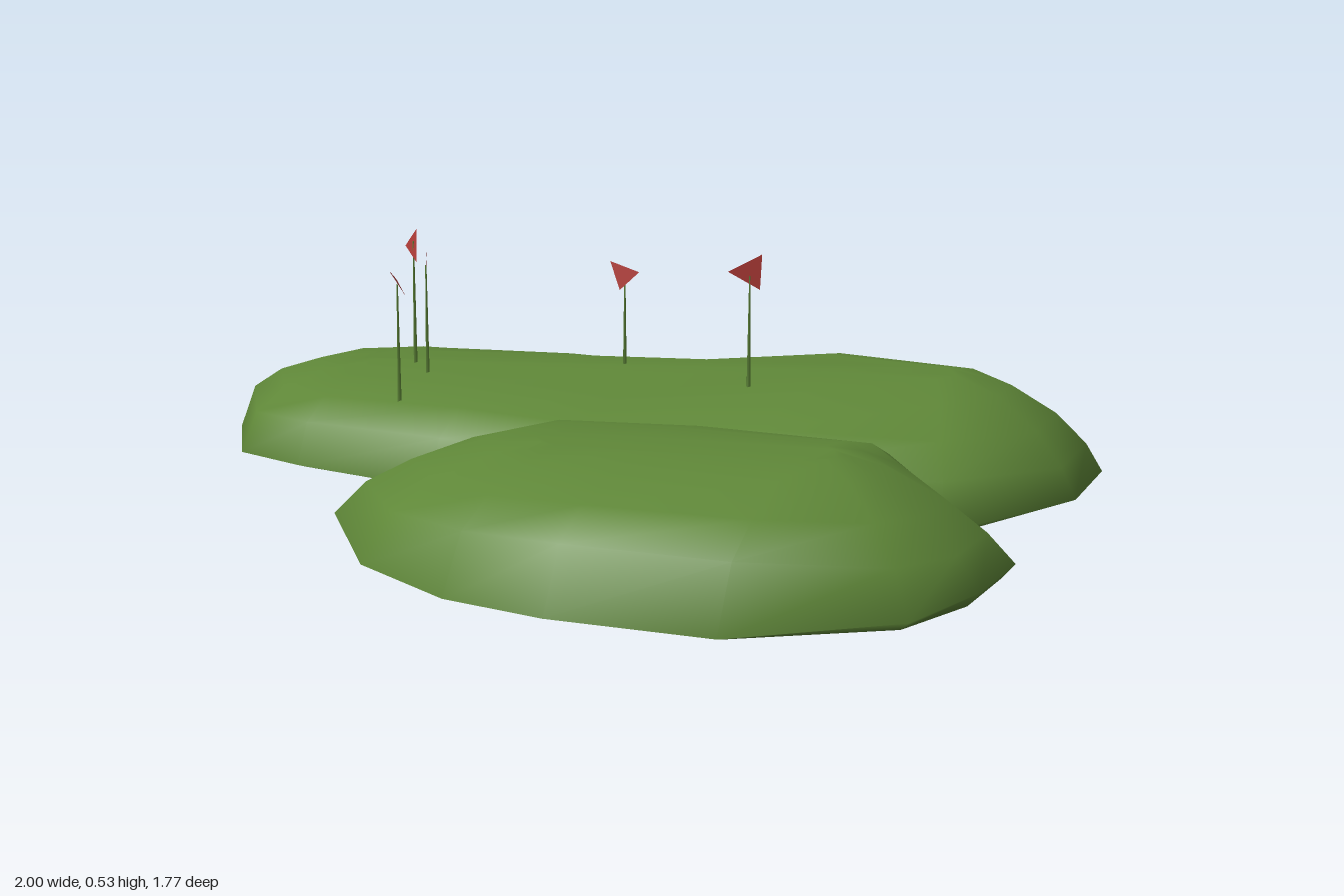
import * as THREE from 'three';
import { mergeVertices } from 'three/addons/utils/BufferGeometryUtils.js';

const grass = new THREE.MeshStandardMaterial({ color: 0x5f8738 });
grass.name = 'grass green';
const red = new THREE.MeshStandardMaterial({ color: 0xb23c38, side: THREE.DoubleSide });
red.name = 'flag red';

// Point on a ridge line ([x, y, z] stations) at the clamped x
function ridgeAt(ridge, x) {
  const last = ridge.length - 1;
  if (x <= ridge[0][0]) return ridge[0];
  if (x >= ridge[last][0]) return ridge[last];
  const i = ridge.findIndex((p) => p[0] > x);
  const a = ridge[i - 1], b = ridge[i];
  const t = (x - a[0]) / (b[0] - a[0]);
  return a.map((v, k) => v + (b[k] - v) * t);
}

// Mound: an outline of [x, z, rim height, slope power] drawn in towards its ridge.
// Higher powers give gentler flanks. Each ring is [inset, rise].
function mound(name, outline, ridge, rings, under) {
  const n = outline.length, pos = [], idx = [];
  const base = [[0.85, 0.03], [0.3, under], [0.07, 0.03]];
  for (const [t, low] of base) {
    for (const [x, z, y] of outline) {
      const r = ridgeAt(ridge, x);
      const floor = Math.abs(z) > 0.3 ? low : 0.03;
      pos.push(x + (r[0] - x) * t, Math.min(floor, y), z + (r[2] - z) * t);
    }
  }
  for (const [t, f] of rings) {
    for (const [x, z, y, power] of outline) {
      const r = ridgeAt(ridge, x);
      pos.push(x + (r[0] - x) * t, y + (r[1] - y) * f ** power, z + (r[2] - z) * t);
    }
  }
  const count = base.length + rings.length;
  for (let k = 0; k < count - 1; k++) {
    for (let i = 0; i < n; i++) {
      const j = (i + 1) % n;
      const a = k * n + j, b = k * n + i, c = b + n, d = a + n;
      idx.push(a, b, c, a, c, d);
    }
  }
  // Close the underside and the crest
  const cap = (start, up) => {
    const loop = [];
    for (let i = start; i < start + n; i++) loop.push(new THREE.Vector2(pos[i * 3], -pos[i * 3 + 2]));
    const flip = THREE.ShapeUtils.isClockWise(loop);
    for (const face of THREE.ShapeUtils.triangulateShape(loop, [])) {
      const [a, b, c] = face.map((v) => v + start);
      const p = loop[face[0]], q = loop[face[1]], r = loop[face[2]];
      const ccw = (q.x - p.x) * (r.y - p.y) - (q.y - p.y) * (r.x - p.x) > 0;
      if (ccw === up) idx.push(a, b, c);
      else idx.push(a, c, b);
    }
    return flip;
  };
  cap(0, false);
  cap((count - 1) * n, true);
  let geo = new THREE.BufferGeometry();
  geo.setAttribute('position', new THREE.Float32BufferAttribute(pos, 3));
  geo.setIndex(idx);
  geo = mergeVertices(geo, 1e-4);
  geo.computeVertexNormals();
  const mesh = new THREE.Mesh(geo, grass);
  mesh.name = name;
  return mesh;
}

// Tapered pole with a tilted triangular pennant given by three corners
function flag([x, y0, y1, z], corners) {
  const g = new THREE.Group();
  g.name = 'flag';
  const pole = new THREE.Mesh(new THREE.CylinderGeometry(0.002, 0.006, y1 - y0, 3), grass);
  pole.position.set(x, (y0 + y1) / 2, z);
  pole.name = 'flagPole';
  const geo = new THREE.BufferGeometry();
  geo.setAttribute('position', new THREE.Float32BufferAttribute(corners.flat(), 3));
  geo.computeVertexNormals();
  const pennant = new THREE.Mesh(geo, red);
  pennant.name = 'pennant';
  g.add(pole, pennant);
  return g;
}

export function createModel() {
  const model = new THREE.Group();
  model.name = 'flaggedHills';

  // Long rear hill, with a saddle in its ridge
  model.add(mound('rearHill', [
    [-1, -0.17, 0.03, 0.9], [-0.94, -0.48, 0.04, 1], [-0.68, -0.685, 0.04, 1.1], [-0.6, -0.685, 0.04, 1.2],
    [-0.26, -0.65, 0.04, 1.2], [-0.07, -0.75, 0.04, 1.3], [0.33, -0.89, 0.05, 1.3], [0.71, -0.815, 0.05, 1.4],
    [0.97, -0.57, 0.04, 1.8], [0.975, -0.3, 0.04, 1.8], [0.81, 0.1, 0.05, 1.2], [0.4, 0.17, 0.05, 1.2],
    [0, 0.19, 0.05, 1.1], [-0.28, 0.19, 0.04, 1], [-0.64, 0.14, 0.04, 1], [-0.82, 0.09, 0.04, 1],
  ], [
    [-0.65, 0.215, -0.28], [-0.27, 0.235, -0.3], [-0.04, 0.215, -0.36],
    [0.3, 0.248, -0.5], [0.62, 0.25, -0.47],
  ], [[0, 0], [0.1, 0.5], [0.28, 0.75], [0.55, 0.93], [0.85, 1]], 0));

  // Rounder front hill, running back into the rear one
  model.add(mound('frontHill', [
    [-0.28, 0.19, 0.05, 1.4], [-0.08, 0.0, 0.1, 1.1], [0.3, -0.06, 0.1, 1], [0.68, -0.03, 0.09, 1],
    [0.81, 0.1, 0.06, 1.2], [1, 0.28, 0.06, 2], [0.99, 0.48, 0.06, 2], [0.92, 0.67, 0.05, 1.5],
    [0.65, 0.86, 0.04, 1], [0.34, 0.885, 0.04, 0.95], [0.13, 0.86, 0.04, 1], [-0.11, 0.74, 0.04, 1.2],
    [-0.33, 0.48, 0.05, 1.6],
  ], [[0.17, 0.24, 0.42], [0.4, 0.252, 0.42], [0.64, 0.253, 0.38]],
  [[0, 0], [0.14, 0.54], [0.34, 0.77], [0.62, 0.94], [0.85, 1]], 0.012));

  // Flags: pole [x, bottom, top, z], then pennant corners
  const flags = [
    [[-0.535, 0.2, 0.5, -0.2], [[-0.57, 0.485, -0.225], [-0.525, 0.53, -0.2], [-0.515, 0.455, -0.18]]],
    [[-0.46, 0.18, 0.46, -0.125], [[-0.47, 0.495, -0.15], [-0.445, 0.46, -0.1], [-0.46, 0.42, -0.125]]],
    [[-0.443, 0.16, 0.44, 0.03], [[-0.445, 0.475, 0.06], [-0.465, 0.445, -0.005], [-0.425, 0.415, 0.025]]],
    [[-0.062, 0.18, 0.42, -0.325], [[-0.1, 0.465, -0.33], [-0.04, 0.44, -0.355], [-0.065, 0.405, -0.305]]],
    [[0.275, 0.18, 0.47, -0.23], [[0.235, 0.48, -0.205], [0.295, 0.515, -0.25], [0.295, 0.44, -0.24]]],
  ];
  for (const [pole, corners] of flags) model.add(flag(pole, corners));
  return model;
}
